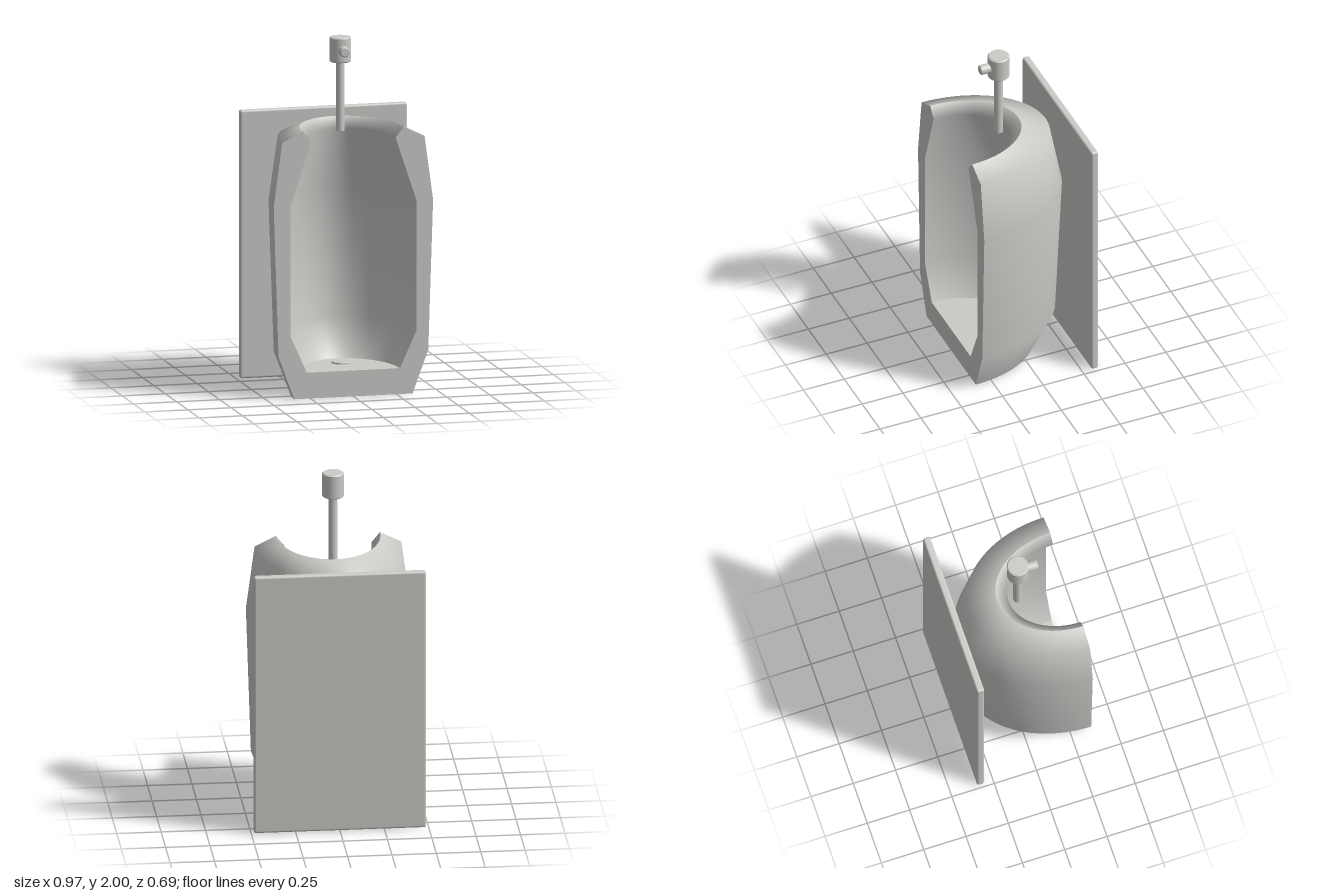
import * as THREE from 'three';
import { RoundedBoxGeometry } from 'three/addons/geometries/RoundedBoxGeometry.js';

const FRONT = 0.345; // plane of the flat cut face
const DEPTH = 1.4;   // depth stretch of the half-round body

export function createModel() {
  const group = new THREE.Group();
  const ceramic = new THREE.MeshStandardMaterial({ color: 0xcccbc8 });
  ceramic.name = 'pale grey';

  const add = (name, geometry, x = 0, y = 0, z = 0) => {
    const mesh = new THREE.Mesh(geometry, ceramic);
    mesh.name = name;
    mesh.position.set(x, y, z);
    group.add(mesh);
    return mesh;
  };
  const vec = (pts) => pts.map(([x, y]) => new THREE.Vector2(x, y));

  // Half-elliptical shells; separate runs keep the rim and floor edges sharp
  const base = [[0, 0], [0.343, 0]];
  const outer = [[0.343, 0], [0.434, 0.245], [0.462, 1.1], [0.413, 1.465], [0.293, 1.525]];
  const inner = [[0.293, 1.525], [0.245, 1.465], [0.366, 1.1], [0.366, 0.36], [0.27, 0.148]];
  const floor = [[0.27, 0.148], [0, 0.148]];
  const halfShell = (name, pts) => {
    const g = new THREE.LatheGeometry(vec(pts), 64, Math.PI / 2, Math.PI);
    g.scale(1, 1, DEPTH);
    add(name, g, 0, 0, FRONT);
  };
  halfShell('bowlBase', base);
  halfShell('bowlOuterWall', outer);
  halfShell('bowlInnerWall', inner);
  halfShell('bowlFloor', floor);

  // Flat front face: the wall section mirrored about the centre
  const half = [...outer, ...inner.slice(1)];
  const mirrored = half.map(([x, y]) => [-x, y]).reverse();
  add('bowlFrontFace', new THREE.ShapeGeometry(new THREE.Shape(vec([...half, ...mirrored]))), 0, 0, FRONT);

  // Cylinder with small chamfered ends, centred on its own middle
  const chamferedCylinder = (r, h, b) => {
    const runs = [[0, -h / 2], [r - b, -h / 2], [r - b, -h / 2], [r, -h / 2 + b], [r, -h / 2 + b],
      [r, h / 2 - b], [r, h / 2 - b], [r - b, h / 2], [r - b, h / 2], [0, h / 2]];
    return new THREE.LatheGeometry(vec(runs), 48);
  };

  // Drain cover
  add('drain', chamferedCylinder(0.061, 0.016, 0.003), 0, 0.15, 0.1);

  // Flush pipe, valve head and push button
  add('flushPipe', new THREE.CylinderGeometry(0.025, 0.025, 0.41, 32), 0, 1.67, 0.055);
  add('valveHead', chamferedCylinder(0.061, 0.142, 0.006), 0, 1.929, 0.055);
  add('flushButton', chamferedCylinder(0.028, 0.09, 0.005), 0, 1.93, 0.126).rotation.x = Math.PI / 2;

  // Wall panel behind the bowl
  add('backPanel', new RoundedBoxGeometry(0.97, 1.53, 0.043, 3, 0.012), 0, 0.77, -0.3235);

  return group;
}
